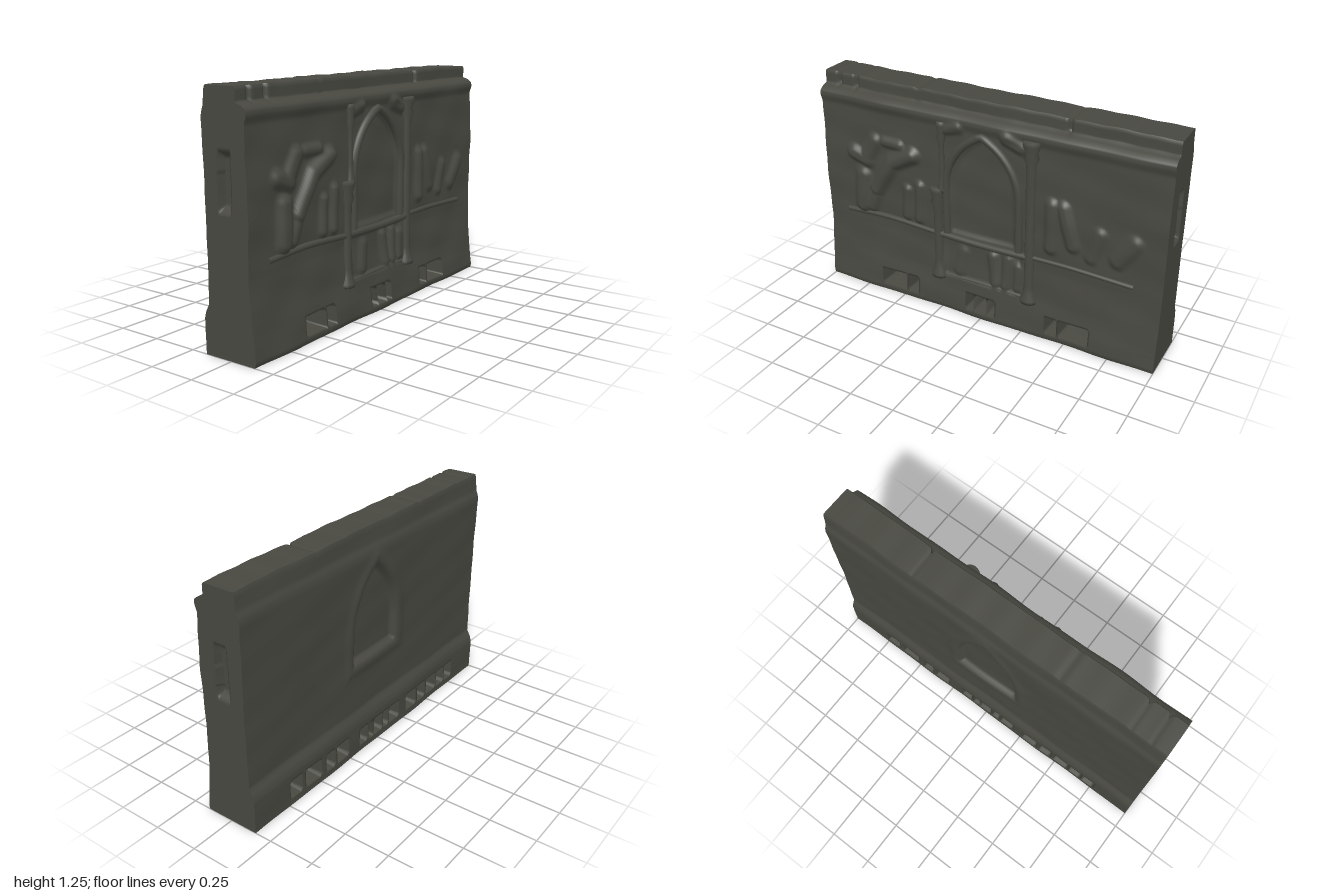
import * as THREE from 'three';

const HEIGHT = 1.255, NX = 200, NY = 125;
const stone = new THREE.MeshStandardMaterial({ color: 0x484841 });
stone.name = 'dark weathered stone';

const smooth = THREE.MathUtils.smoothstep;
const within = (v, a, b) => v > a - 0.003 && v < b + 0.003;

// Piecewise-linear profile lookup: points are [y, z]
function profile(points, y) {
  for (let i = 1; i < points.length; i++) {
    const [y0, z0] = points[i - 1], [y1, z1] = points[i];
    if (y <= y1) return z0 + (z1 - z0) * Math.max(0, (y - y0) / (y1 - y0));
  }
  return points[points.length - 1][1];
}
const FRONT = [[0, 0.145], [0.02, 0.152], [0.1, 0.146], [0.22, 0.13], [0.4, 0.118], [0.8, 0.12],
  [1.09, 0.112], [1.13, 0.126], [1.155, 0.122], [1.172, 0.1], [1.185, 0.065], [1.245, 0.064], [1.255, 0.058]];
const BACK = [[0, 0.157], [0.18, 0.157], [0.21, 0.15], [0.25, 0.13], [0.6, 0.132], [1.1, 0.142],
  [1.13, 0.138], [1.16, 0.126], [1.24, 0.12], [1.255, 0.115]];

// Soft weathering waves
const weather = (x, y, k) => 0.0025 * Math.sin(9 * x + 5 * y + k) + 0.002 * Math.sin(17 * x - 13 * y + 2 * k)
  + 0.0015 * Math.sin(31 * y + 7 * x + k);

// Signed distance to a pointed arch
function archDistance(x, y, w, spring, rise, bottom) {
  const c = (rise * rise - w * w) / (2 * w);
  const d = y > spring ? Math.hypot(Math.abs(x) + c, y - spring) - w - c : Math.abs(x) - w;
  return Math.max(d, bottom - y);
}

// Carved figures as soft strokes: x1, y1, x2, y2, radius, height
const FIGURES = [
  [-0.76, 0.52, -0.75, 0.7, 0.07, 0.03], [-0.7, 0.52, -0.64, 0.68, 0.05, 0.025],
  [-0.8, 0.83, -0.72, 0.8, 0.06, 0.025], [-0.72, 0.82, -0.66, 0.92, 0.06, 0.025],
  [-0.66, 0.64, -0.55, 0.82, 0.06, 0.035], [-0.55, 0.82, -0.42, 0.89, 0.06, 0.035],
  [-0.6, 0.93, -0.5, 0.93, 0.04, 0.018], [-0.47, 0.52, -0.46, 0.68, 0.04, 0.02],
  [-0.39, 0.52, -0.38, 0.72, 0.04, 0.02], [0.4, 0.56, 0.4, 0.8, 0.05, 0.022],
  [0.46, 0.8, 0.52, 0.6, 0.05, 0.022], [0.62, 0.56, 0.66, 0.7, 0.05, 0.018],
  [0.76, 0.58, 0.84, 0.7, 0.06, 0.02], [0.08, 0.25, 0.06, 0.4, 0.045, 0.022],
  [0.14, 0.25, 0.15, 0.41, 0.045, 0.022], [0.21, 0.25, 0.21, 0.38, 0.035, 0.02],
  [-0.14, 0.26, -0.12, 0.38, 0.05, 0.014], [-0.22, 1.08, -0.14, 1.1, 0.04, 0.02],
  [0.14, 1.1, 0.22, 1.07, 0.05, 0.022],
];
function figureRelief(x, y) {
  let h = 0;
  for (const [x1, y1, x2, y2, r, top] of FIGURES) {
    const dx = x2 - x1, dy = y2 - y1;
    const t = THREE.MathUtils.clamp(((x - x1) * dx + (y - y1) * dy) / (dx * dx + dy * dy), 0, 1);
    h = Math.max(h, top * smooth(1 - Math.hypot(x - x1 - t * dx, y - y1 - t * dy) / r, 0, 0.8));
  }
  return h;
}

// Drain slots along the foot; where front and back slots meet, the wall is open
const FRONT_SLOTS = [[-0.63, -0.49], [-0.46, -0.41], [-0.08, -0.05], [-0.03, 0.03], [0.05, 0.08], [0.4, 0.45], [0.48, 0.63]];
const BACK_SLOTS = [[-0.76, -0.7], [-0.67, -0.61], [-0.58, -0.5], [-0.46, -0.4], [-0.36, -0.28], [-0.19, -0.12],
  [-0.09, -0.06], [-0.03, 0.03], [0.05, 0.08], [0.11, 0.16], [0.28, 0.36], [0.4, 0.45], [0.51, 0.61], [0.66, 0.73]];
const inSlot = (slots, x, y) => within(y, 0.05, 0.13) && slots.some(([a, b]) => within(x, a, b));

const parapet = y => smooth(y, 1.17, 1.2);
const notch = x => [-0.91, -0.8, 0.45].reduce((s, n) => s + Math.exp(-(((x - n) / 0.009) ** 2)), 0);
// Worn upper edge
const heightAt = (x, v) => {
  const y = v * HEIGHT;
  return y - parapet(y) * (0.003 + 0.003 * Math.sin(11 * x) * Math.sin(23 * x + 1) + 0.008 * Math.exp(-(((x + 0.41) / 0.02) ** 2)) + 0.005 * notch(x));
};

function frontZ(x, v) {
  const y = v * HEIGHT;
  if (inSlot(FRONT_SLOTS, x, y)) return 0;
  let z = profile(FRONT, y) + weather(x, y, 1) * (1 - 0.5 * parapet(y)) + figureRelief(x, y);
  z -= 0.014 * smooth(-archDistance(x, y, 0.2, 0.76, 0.31, 0.48), 0, 0.03);
  const panel = Math.min(0.24 - Math.abs(x), y - 0.21, 0.45 - y);
  z -= 0.014 * smooth(panel, 0, 0.02);
  return z - 0.025 * parapet(y) * notch(x);
}
function backZ(x, v) {
  const y = v * HEIGHT;
  if (inSlot(BACK_SLOTS, x, y)) return 0;
  const d = archDistance(x, y, 0.19, 0.68, 0.37, 0.53);
  const rim = 0.007 * Math.exp(-(((d - 0.03) / 0.03) ** 2));
  return -(profile(BACK, y) + 0.6 * weather(x, y, 4) + rim - 0.03 * smooth(-d, -0.005, 0.025));
}

// Grid surface from a point rule; cells for which open() holds are left out
function surface(name, nu, nv, point, flip = false, open = () => false) {
  const pos = [], index = [];
  for (let j = 0; j <= nv; j++) for (let i = 0; i <= nu; i++) pos.push(...point(i / nu, j / nv));
  for (let j = 0; j < nv; j++) for (let i = 0; i < nu; i++) {
    if (open(i, j)) continue;
    const a = j * (nu + 1) + i, b = a + 1, c = a + nu + 1, d = c + 1;
    if (flip) index.push(a, c, b, b, c, d);
    else index.push(a, b, c, b, d, c);
  }
  const geo = new THREE.BufferGeometry();
  geo.setAttribute('position', new THREE.Float32BufferAttribute(pos, 3));
  geo.setIndex(index);
  geo.computeVertexNormals();
  return part(name, geo);
}
function part(name, geo) {
  const mesh = new THREE.Mesh(geo, stone);
  mesh.name = name;
  return mesh;
}

// Half-sunk column with foot and capital
function pillar(name, x, bottom, top, r) {
  const h = top - bottom;
  const pts = [[0, 0], [1.7, 0], [1.8, 0.02], [1.2, 0.05], [1, 0.1], [0.95, h * 0.5], [1, h - 0.12],
    [1.5, h - 0.09], [1.2, h - 0.06], [1.7, h - 0.02], [1.5, h], [0, h]];
  const mesh = part(name, new THREE.LatheGeometry(pts.map(([k, y]) => new THREE.Vector2(k * r, y)), 20));
  mesh.position.set(x, bottom, 0.118);
  mesh.scale.z = 0.85;
  return mesh;
}

// Rounded moulding along a path
function moulding(name, points, r) {
  const path = new THREE.CatmullRomCurve3(points.map(([x, y]) => new THREE.Vector3(x, y, 0.117)));
  return part(name, new THREE.TubeGeometry(path, 48, r, 10));
}

export function createModel() {
  const wall = new THREE.Group();
  wall.name = 'carvedWall';

  // Front and back faces
  const open = (i, j) => [0, 1].every(a => [0, 1].every(b => {
    const x = (i + a) / NX * 2 - 1, y = (j + b) / NY * HEIGHT;
    return inSlot(FRONT_SLOTS, x, y) && inSlot(BACK_SLOTS, x, y);
  }));
  const face = zRule => (u, v) => [u * 2 - 1, heightAt(u * 2 - 1, v), zRule(u * 2 - 1, v)];
  wall.add(surface('frontFace', NX, NY, face(frontZ), false, open));
  wall.add(surface('backFace', NX, NY, face(backZ), true, open));

  // Ends with a tall socket
  for (const s of [1, -1]) {
    wall.add(surface(s > 0 ? 'leftEnd' : 'rightEnd', 44, NY, (u, v) => {
      const z = THREE.MathUtils.lerp(frontZ(s, v), backZ(s, v), u), y = v * HEIGHT;
      const socket = within(z, -0.045, 0.02) && within(y, 0.69, 0.965);
      const depth = socket ? 0.04 * smooth(Math.min(y - 0.68, 0.975 - y), 0, 0.04) : 0;
      return [s * (1 - depth), heightAt(s, v), z];
    }, s < 0));
  }

  // Top and underside
  const cap = v => (u, w) => {
    const x = u * 2 - 1;
    return [x, heightAt(x, v), THREE.MathUtils.lerp(frontZ(x, v), backZ(x, v), w)];
  };
  wall.add(surface('parapetTop', NX, 4, cap(1)));
  wall.add(surface('underside', NX, 1, cap(0), true));

  // Pillars beside the arch
  wall.add(pillar('rightPillar', -0.27, 0.19, 0.74, 0.027));
  wall.add(pillar('rightUpperPillar', -0.24, 0.72, 1.12, 0.016));
  wall.add(pillar('leftPillar', 0.28, 0.19, 1.12, 0.028));

  // Arch moulding, ledges and panel sill
  const arch = [];
  for (let i = 0; i <= 16; i++) {
    const t = i / 8 - 1, w = 0.215, rise = 0.32, c = (rise * rise - w * w) / (2 * w);
    const a = (1 - Math.abs(t)) * Math.atan2(rise, c);
    arch.push([Math.sign(t) * ((w + c) * Math.cos(a) - c), 0.76 + (w + c) * Math.sin(a)]);
  }
  wall.add(moulding('archMoulding', [[-0.215, 0.48], ...arch, [0.215, 0.48]], 0.022));
  wall.add(moulding('rightLedge', [[-0.87, 0.463], [-0.6, 0.475], [-0.27, 0.46]], 0.016));
  wall.add(moulding('middleLedge', [[-0.27, 0.462], [0, 0.456], [0.28, 0.462]], 0.02));
  wall.add(moulding('leftLedge', [[0.28, 0.468], [0.5, 0.47], [0.85, 0.458]], 0.014));
  wall.add(moulding('panelSill', [[-0.25, 0.21], [0, 0.216], [0.25, 0.21]], 0.015));
  return wall;
}
